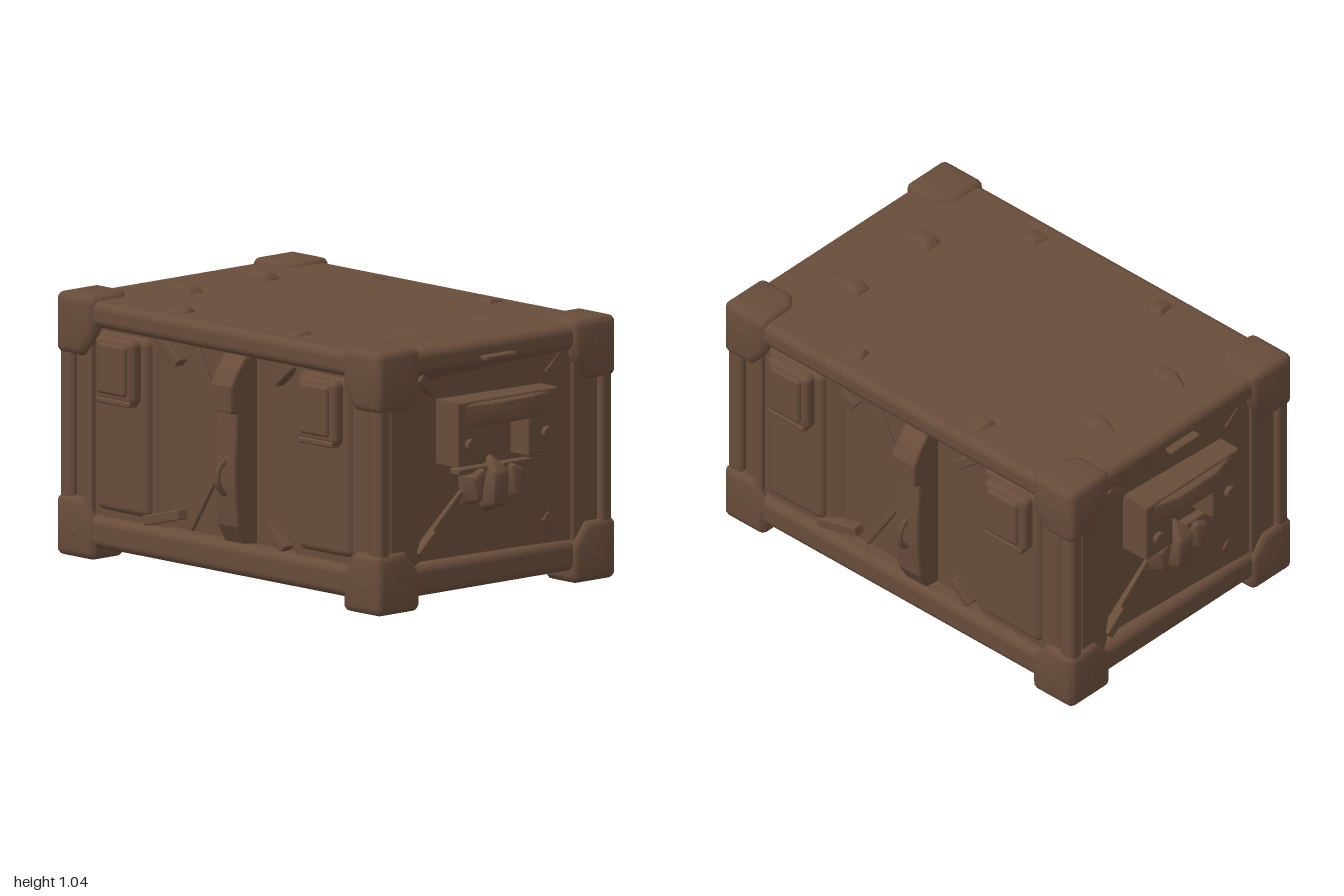
import * as THREE from 'three';
import { toCreasedNormals } from 'three/addons/utils/BufferGeometryUtils.js';
import { RoundedBoxGeometry } from 'three/addons/geometries/RoundedBoxGeometry.js';
import { ConvexGeometry } from 'three/addons/geometries/ConvexGeometry.js';

const brown = new THREE.MeshStandardMaterial({ color: 0x684c3a });
brown.name = 'brown';

function add(parent, name, geometry) {
  const mesh = new THREE.Mesh(geometry, brown);
  mesh.name = name;
  parent.add(mesh);
  return mesh;
}

// Rounded box given by its extents on each axis
function block(parent, name, [x0, x1], [y0, y1], [z0, z1], r = 0.01) {
  const mesh = add(parent, name, new RoundedBoxGeometry(x1 - x0, y1 - y0, z1 - z0, 3, r));
  mesh.position.set((x0 + x1) / 2, (y0 + y1) / 2, (z0 + z1) / 2);
  return mesh;
}

// Smooth hull around points, grown by a small sphere of radius r
function hull(points, r) {
  const ball = new THREE.IcosahedronGeometry(r, 1).getAttribute('position');
  const cloud = [];
  for (const p of points) {
    for (let i = 0; i < ball.count; i++) {
      cloud.push(new THREE.Vector3().fromBufferAttribute(ball, i).add(new THREE.Vector3(...p)));
    }
  }
  return toCreasedNormals(new ConvexGeometry(cloud), 0.7);
}

// Polygon extruded along z
function extrude(points, depth, bevel = 0) {
  const shape = new THREE.Shape(points.map(([x, y]) => new THREE.Vector2(x, y)));
  return new THREE.ExtrudeGeometry(shape, {
    depth, bevelEnabled: bevel > 0, bevelSize: bevel, bevelThickness: bevel, bevelOffset: -bevel, bevelSegments: 2,
  });
}

// Flat strap on a face, running from a to b in face coordinates
function strap(parent, name, a, b, width, z, thick) {
  const dx = b[0] - a[0], dy = b[1] - a[1];
  const mesh = add(parent, name, new RoundedBoxGeometry(Math.hypot(dx, dy), width, thick, 2, 0.006));
  mesh.position.set((a[0] + b[0]) / 2, (a[1] + b[1]) / 2, z);
  mesh.rotation.z = Math.atan2(dy, dx);
}

// Corner guard with a cut on the inner corner of each outer face
function corner(parent, sx, top, sz) {
  const r = 0.03, X = 0.885, Z = 0.595, out = top ? 1 : 0;
  const y = (d) => (out ? 1.0 - d : 0.03 + d);
  const pts = [
    [X, 0, Z], [X - 0.155, 0, Z], [X - 0.155, 0, Z - 0.12], [X - 0.12, 0, Z - 0.165], [X, 0, Z - 0.165],
    [X - 0.155, 0.11, Z], [X - 0.10, 0.18, Z], [X, 0.18, Z],
    [X, 0.18, Z - 0.11], [X, 0.11, Z - 0.165],
  ].map(([x, d, z]) => [sx * x, y(d), sz * z]);
  add(parent, 'cornerGuard', hull(pts, r));
  // Rivets on the front and end faces
  for (const end of [0, 1]) {
    const rivet = add(parent, 'cornerRivet', new THREE.SphereGeometry(0.013, 12, 8));
    rivet.position.set(sx * (end ? 0.912 : 0.81), y(0.07), sz * (end ? 0.51 : 0.622));
    rivet.scale.set(end ? 0.4 : 1, 1, end ? 1 : 0.4);
  }
}

// Long face, looking along +z
function buildLongSide() {
  const g = new THREE.Group();
  g.name = 'longSide';

  for (const s of [-1, 1]) {
    const span = (a, b) => (s > 0 ? [a, b] : [-b, -a]);
    block(g, 'bulgedPanel', span(0.42, 0.72), [0.2, 0.9], [0.5, 0.595], 0.03);
    block(g, 'lidPouch', span(0.46, 0.68), [0.64, 0.89], [0.55, 0.64], 0.025);
    block(g, 'pouchFace', span(0.49, 0.65), [0.67, 0.87], [0.6, 0.655], 0.015);
    block(g, 'pouchLip', span(0.475, 0.665), [0.63, 0.655], [0.57, 0.642], 0.008);
    strap(g, 'upperHook', [s * 0.37, 0.91], [s * 0.27, 0.825], 0.04, 0.56, 0.05);
  }
  strap(g, 'lowerHook', [-0.45, 0.19], [-0.25, 0.24], 0.04, 0.57, 0.05);
  strap(g, 'lowerHook', [0.33, 0.18], [0.24, 0.26], 0.04, 0.56, 0.05);

  // Slanted seams beside the clasp
  strap(g, 'diagonalBrace', [0.01, 0.53], [-0.2, 0.91], 0.025, 0.545, 0.02);
  strap(g, 'diagonalBrace', [0.01, 0.56], [-0.23, 0.18], 0.025, 0.545, 0.02);

  // Clasp strap, drawn as a side profile and extruded across its width
  const profile = [[0.5, 0.92], [0.6, 0.91], [0.64, 0.86], [0.675, 0.8], [0.675, 0.7], [0.645, 0.69],
    [0.655, 0.5], [0.655, 0.4], [0.64, 0.25], [0.6, 0.18], [0.5, 0.17]];
  const clasp = add(g, 'claspStrap', extrude(profile, 0.1, 0.01));
  clasp.rotation.y = -Math.PI / 2;
  clasp.position.x = 0.125;

  // Loop on the clasp
  const loop = add(g, 'claspLoop', new THREE.TorusGeometry(0.045, 0.011, 8, 20));
  loop.rotation.y = Math.PI / 2;
  loop.scale.y = 1.35;
  loop.position.set(0.075, 0.44, 0.645);
  return g;
}

// Short face, built looking along +z and turned by the caller
function buildShortSide() {
  const g = new THREE.Group();
  g.name = 'shortSide';

  // Sloping panel under the top rail
  const lip = add(g, 'slopedLip', hull([[-0.38, 0.92, 0.79], [0.38, 0.92, 0.79], [-0.38, 0.92, 0.87],
    [0.38, 0.92, 0.87], [-0.3, 0.84, 0.79], [0.3, 0.84, 0.79]], 0.01));
  lip.renderOrder = 0;

  // Notched handle plate
  const plate = [[-0.26, 0.55], [-0.11, 0.55], [-0.11, 0.695], [0.11, 0.695], [0.11, 0.55], [0.26, 0.55],
    [0.26, 0.8], [-0.26, 0.8]];
  add(g, 'handlePlate', extrude(plate, 0.15, 0.008)).position.z = 0.81;
  add(g, 'handleRidge', hull([[-0.25, 0.71, 0.95], [0.25, 0.71, 0.95], [-0.25, 0.78, 0.95], [0.25, 0.78, 0.95],
    [-0.1, 0.71, 0.99], [0.1, 0.71, 0.99], [-0.1, 0.78, 0.99], [0.1, 0.78, 0.99]], 0.01));

  for (const s of [-1, 1]) {
    const bolt = add(g, 'handleBolt', new THREE.CylinderGeometry(0.022, 0.028, 0.03, 12));
    bolt.rotation.x = Math.PI / 2;
    bolt.position.set(s * 0.2, 0.63, 0.97);
    // Side lugs and straps fanning to the lower corners
    add(g, 'buckleLug', hull([[s * 0.07, 0.51, 0.84], [s * 0.14, 0.49, 0.84], [s * 0.13, 0.39, 0.84],
      [s * 0.07, 0.38, 0.84], [s * 0.08, 0.5, 0.91], [s * 0.12, 0.48, 0.91], [s * 0.1, 0.4, 0.91]], 0.015));
    strap(g, 'lugStrap', [s * 0.04, 0.51], [s * 0.19, 0.51], 0.025, 0.87, 0.06);
    strap(g, 'cornerStrap', [s * 0.13, 0.43], [s * 0.35, 0.23], 0.025, 0.85, 0.03);
    strap(g, 'strapEnd', [s * 0.28, 0.28], [s * 0.37, 0.2], 0.045, 0.86, 0.04);
    strap(g, 'upperHook', [s * 0.37, 0.9], [s * 0.29, 0.83], 0.04, 0.86, 0.04);
  }
  block(g, 'buckleBack', [-0.14, 0.14], [0.37, 0.54], [0.8, 0.86]);

  // Central tongue of the buckle
  add(g, 'buckleTongue', hull([[-0.03, 0.5, 0.85], [0.03, 0.5, 0.85], [0, 0.54, 0.87], [-0.03, 0.36, 0.85],
    [0.03, 0.36, 0.85], [0, 0.345, 0.85], [-0.025, 0.49, 0.925], [0.025, 0.49, 0.925],
    [-0.025, 0.38, 0.92], [0.025, 0.38, 0.92]], 0.015));

  // Small catch on the top rail
  block(g, 'railCatch', [-0.08, 0.08], [0.935, 0.955], [0.87, 0.935], 0.008);
  return g;
}

export function createModel() {
  const model = new THREE.Group();
  model.name = 'crate';

  // Walls: plan outline with shallow recesses, extruded upward
  const front = [[0.88, 0.4], [0.88, 0.56], [0.84, 0.58], [0.4, 0.57], [0.34, 0.54], [-0.34, 0.54],
    [-0.4, 0.57], [-0.84, 0.58], [-0.88, 0.56], [-0.88, 0.4], [-0.84, 0.34]];
  const outline = [...front, ...front.map(([x, z]) => [-x, -z])];
  const walls = add(model, 'walls', extrude(outline, 0.76));
  walls.rotation.x = -Math.PI / 2;
  walls.position.y = 0.16;

  // Lid and base slabs
  block(model, 'lid', [-0.9, 0.9], [0.91, 1.012], [-0.615, 0.615], 0.035);
  block(model, 'base', [-0.9, 0.9], [0.05, 0.175], [-0.615, 0.615], 0.035);

  for (const sx of [-1, 1]) {
    for (const sz of [-1, 1]) {
      corner(model, sx, true, sz);
      corner(model, sx, false, sz);
      const span = (s, a, b) => (s > 0 ? [a, b] : [-b, -a]);
      block(model, 'cornerPost', span(sx, 0.83, 0.905), [0.1, 0.95], span(sz, 0.55, 0.61), 0.02);
      block(model, 'postStrip', span(sx, 0.735, 0.825), [0.1, 0.95], span(sz, 0.5, 0.597), 0.012);
      block(model, 'endStrip', span(sx, 0.8, 0.892), [0.1, 0.95], span(sz, 0.41, 0.545), 0.012);

      // Tapered cleats on the lid and under the base
      for (const [y, d] of [[1.01, 1], [0.052, -1]]) {
        add(model, 'cleat', hull([[0.58, 0, 0.17], [0.58, 0, 0.23], [0.67, 0, 0.17], [0.67, 0, 0.23],
          [0.6, 0.018, 0.18], [0.6, 0.018, 0.22], [0.66, 0.018, 0.18], [0.66, 0.018, 0.22], [0.73, 0, 0.195]]
          .map(([x, h, z]) => [sx * x, y + d * h, sz * z]), 0.01));
      }
      add(model, 'lidTab', hull([[0.3, 0, 0.47], [0.36, 0, 0.47], [0.29, 0, 0.53], [0.35, 0, 0.54],
        [0.31, 0.014, 0.48], [0.35, 0.014, 0.48]].map(([x, h, z]) => [sx * x, 1.01 + h, sz * z]), 0.008));
    }
  }

  // Each face repeats on the opposite side, turned half a circle
  for (const turn of [0, Math.PI]) {
    const long = buildLongSide();
    long.rotation.y = turn;
    const short = buildShortSide();
    short.rotation.y = turn + Math.PI / 2;
    model.add(long, short);
  }
  return model;
}
